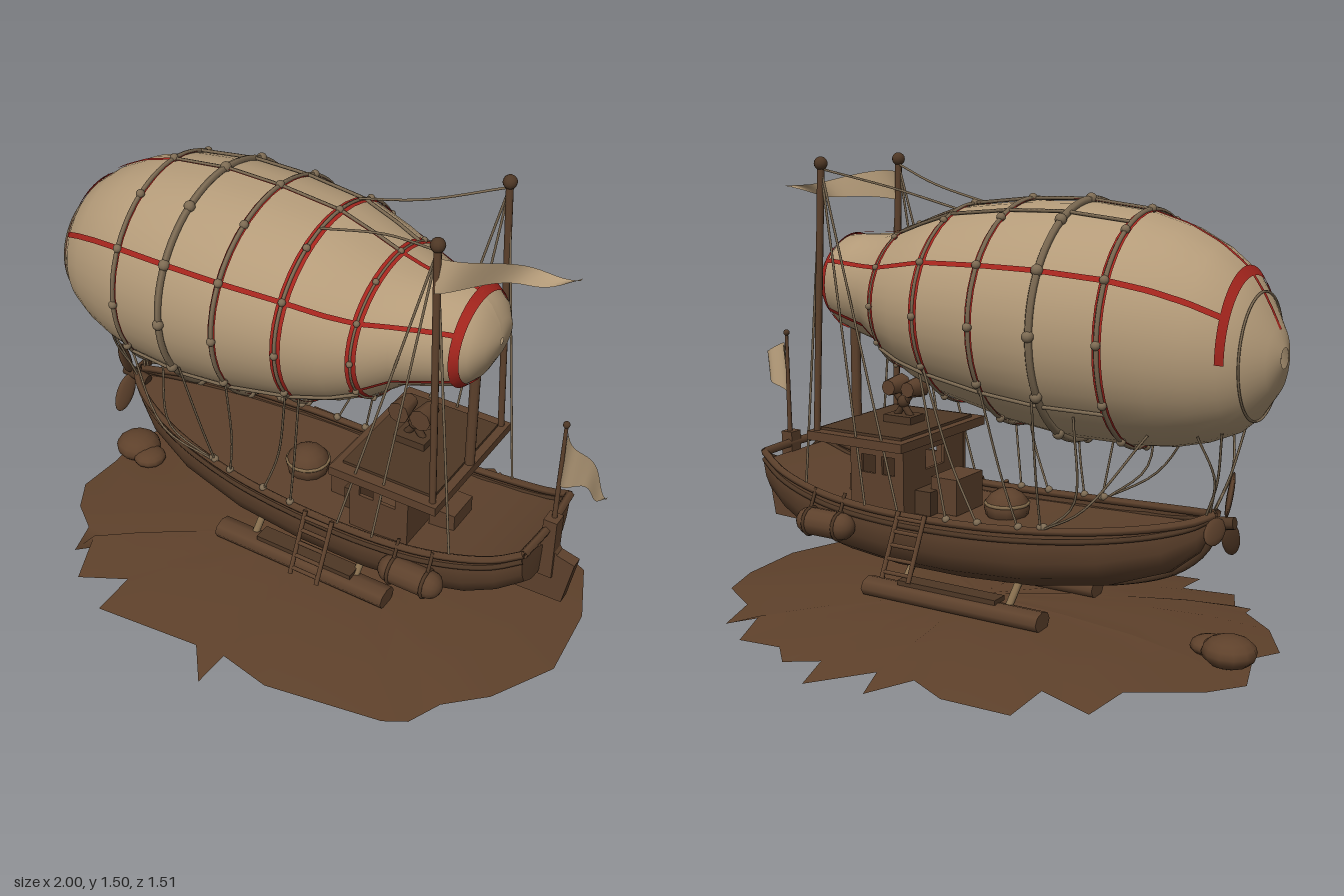
import * as THREE from 'three';

const V = (x, y, z) => new THREE.Vector3(x, y, z);
const ZC = 0.015; // centre line of the craft
const mat = (name, color, side = THREE.FrontSide) => Object.assign(new THREE.MeshStandardMaterial({ color, side }), { name });

// [x, top, bottom, half width] of the gas bag, bow to stern
const BAG = [[-1, 0.99, 0.93, 0.03], [-0.98, 1.05, 0.85, 0.1], [-0.93, 1.14, 0.775, 0.17], [-0.88, 1.21, 0.73, 0.22],
  [-0.8, 1.27, 0.695, 0.265], [-0.7, 1.32, 0.67, 0.305], [-0.58, 1.355, 0.66, 0.34], [-0.37, 1.378, 0.662, 0.37], [-0.18, 1.373, 0.688, 0.372],
  [0.03, 1.35, 0.735, 0.35], [0.15, 1.31, 0.775, 0.315], [0.24, 1.275, 0.82, 0.275], [0.33, 1.248, 0.885, 0.225], [0.42, 1.243, 0.905, 0.19],
  [0.5, 1.237, 0.93, 0.165], [0.54, 1.2, 0.97, 0.14], [0.57, 1.15, 1.03, 0.09], [0.58, 1.1, 1.08, 0.01]];
// [x, gunwale height, keel height, half width] of the hull
const HULL = [[-0.81, 0.475, 0.43, 0.012], [-0.77, 0.457, 0.35, 0.05], [-0.68, 0.438, 0.275, 0.105], [-0.5, 0.413, 0.21, 0.17],
  [-0.25, 0.391, 0.17, 0.218], [0, 0.38, 0.156, 0.235], [0.25, 0.381, 0.156, 0.237], [0.45, 0.396, 0.175, 0.228],
  [0.6, 0.423, 0.21, 0.21], [0.7, 0.452, 0.26, 0.19], [0.78, 0.492, 0.32, 0.165]];
// jagged rim of the ground patch, x and z
const RIM = [-.97, -.1, -.9, -.24, -.72, -.4, -.68, -.53, -.52, -.51, -.5, -.65, -.27, -.65, -.16, -.62, -.05, -.72, -.02, -.61, .14, -.76,
  .18, -.62, .28, -.68, .34, -.62, .51, -.61, .54, -.48, .62, -.55, .66, -.4, .8, -.32, .88, -.13, .9, .13, .79, .35, .67, .45, .62, .56,
  .55, .6, .16, .66, -.01, .64, -.03, .75, -.12, .64, -.49, .68, -.49, .53, -.65, .6, -.72, .43, -.75, .5, -.77, .4, -.88, .32, -.96, .2, -.93, .05];

function sample(table, x) {
  let i = 0;
  while (i < table.length - 2 && x > table[i + 1][0]) i++;
  const [a, b] = [table[i], table[i + 1]];
  const t = THREE.MathUtils.clamp((x - a[0]) / (b[0] - a[0]), 0, 1);
  return a.map((v, k) => v + (b[k] - v) * t);
}
// point on the bag at x, angle measured from the top towards +z
function bag(x, a, off = 0) {
  const [, t, b, w] = sample(BAG, x);
  return V(x, (t + b) / 2 + ((t - b) / 2 + off) * Math.cos(a), ZC + (w + off) * Math.sin(a));
}
const steps = (a, b, n) => Array.from({ length: n + 1 }, (_, i) => a + (b - a) * i / n);
// skin over rows of points
function loft(rows) {
  const n = rows[0].length, idx = [];
  for (let i = 0; i < rows.length - 1; i++) for (let j = 0; j < n - 1; j++) {
    const p = i * n + j;
    idx.push(p, p + 1, p + n, p + 1, p + n + 1, p + n);
  }
  const g = new THREE.BufferGeometry().setFromPoints(rows.flat());
  g.setIndex(idx);
  g.computeVertexNormals();
  return g;
}
const tube = (pts, r, n = 24, closed = false) => new THREE.TubeGeometry(new THREE.CatmullRomCurve3(pts, closed), n, r, 5, closed);

export function createModel() {
  const root = new THREE.Group();
  const wood = mat('brown wood', 0x5d412c, THREE.DoubleSide), dark = mat('dark wood', 0x4e3725), earth = mat('earth', 0x5e412b, THREE.DoubleSide);
  const canvas = mat('tan canvas', 0xb49b79, THREE.DoubleSide), red = mat('red trim', 0xa5251d, THREE.DoubleSide);
  const cord = mat('rope', 0x7d6b53), pale = mat('pale wood', 0x846c4c);
  const add = (name, geo, m, x = 0, y = 0, z = 0) => {
    const o = new THREE.Mesh(geo, m);
    o.name = name;
    o.position.set(x, y, z);
    root.add(o);
    return o;
  };
  const box = (name, w, h, d, m, x, y, z) => add(name, new THREE.BoxGeometry(w, h, d), m, x, y, z);
  const ball = (name, r, m, x, y, z) => add(name, new THREE.SphereGeometry(r, 12, 8), m, x, y, z);
  const beam = (name, a, b, r, m, r2 = r) => {
    const o = add(name, new THREE.CylinderGeometry(r2, r, a.distanceTo(b), 8), m);
    o.position.lerpVectors(a, b, 0.5);
    o.quaternion.setFromUnitVectors(V(0, 1, 0), b.clone().sub(a).normalize());
    return o;
  };
  const rope = pts => add('rope', tube(pts, 0.004, 12), cord);

  // Gas bag
  const round = steps(0, Math.PI * 2, 40);
  add('gasBag', loft(BAG.map(r => round.map(a => bag(r[0], a)))), canvas);
  // Red hoops and seams: [x, half width, half arc]
  for (const [x, w, arc] of [[-0.89, 0.01, 1.6], [-0.58, 0.013, Math.PI], [-0.18, 0.012, Math.PI], [0.03, 0.016, Math.PI], [0.24, 0.014, Math.PI], [0.51, 0.013, Math.PI]])
    add('redHoop', loft([-w, w].map(d => steps(-arc, arc, 40).map(a => bag(x + d, a, 0.006)))), red);
  for (let k = 0; k < 6; k++) {
    const a0 = k * Math.PI / 3, start = k === 0 ? -0.985 : k === 1 || k === 5 ? -0.9 : 0.22;
    add('redSeam', loft(steps(start, 0.51, 60).map(x => {
      const da = 0.009 / (sample(BAG, x)[3] + 0.02);
      return [bag(x, a0 - da, 0.006), bag(x, a0 + da, 0.006)];
    })), red);
  }
  // Netting with knots: [x, rope radius]
  for (const [x, r] of [[-0.58, 0.008], [-0.38, 0.012], [-0.18, 0.008], [0.03, 0.006], [0.24, 0.004]]) {
    add('netHoop', tube(round.slice(0, -1).map(a => bag(x, a, 0.006)), r, 80, true), cord);
    for (let k = 0; k < 12; k++) {
      const p = bag(x, k * Math.PI / 6, 0.008);
      ball('knot', r + 0.006, cord, p.x, p.y, p.z);
    }
  }
  add('noseHoop', tube(round.slice(0, -1).map(a => bag(-0.93, a, 0.004)), 0.004, 60, true), cord);
  for (const a of [0, -0.4, 2.2, -2.2])
    add('netLine', tube(steps(-0.58, 0.24, 20).map(x => bag(x, a, 0.007)), 0.006, 40), cord);

  // Hull, deck and transom
  const PROFILE = [[1, 0], [1.02, 0.25], [0.97, 0.5], [0.85, 0.75], [0.5, 0.95], [0.06, 1]];
  const section = ([x, t, k, w]) => [...PROFILE.map(([u, v]) => V(x, t + (k - t) * v, ZC + w * u)),
    ...PROFILE.slice().reverse().map(([u, v]) => V(x, t + (k - t) * v, ZC - w * u))];
  add('hull', loft(HULL.map(section)), wood);
  add('deck', loft(HULL.map(([x, t, , w]) => [V(x, t - 0.03, ZC - w), V(x, t - 0.03, ZC + w)])), wood);
  const stern = section(HULL[HULL.length - 1]);
  add('transom', loft([stern, stern.map(() => V(0.785, 0.42, ZC))]), wood);
  for (const s of [-1, 1]) {
    add('gunwale', tube(HULL.map(([x, t, , w]) => V(x, t, ZC + s * w)), 0.013, 50), wood);
    add('rubbingStrake', tube(HULL.map(([x, t, k, w]) => V(x, t + (k - t) * 0.15, ZC + s * w * 1.01)), 0.009, 50), dark);
  }
  add('keel', tube(HULL.map(([x, , k]) => V(x, k, ZC)), 0.015, 50), dark);
  add('sternRail', tube([V(0.78, 0.49, ZC - 0.165), V(0.79, 0.49, ZC), V(0.78, 0.49, ZC + 0.165)], 0.015), wood);
  box('sternPost', 0.045, 0.22, 0.05, wood, 0.8, 0.42, ZC + 0.005);

  // Rudder
  const blade = new THREE.Shape([[0.79, 0.46], [0.83, 0.4], [0.89, 0.385], [0.86, 0.22], [0.7, 0.215], [0.71, 0.25], [0.77, 0.3]].map(p => new THREE.Vector2(...p)));
  add('rudder', new THREE.ExtrudeGeometry(blade, { depth: 0.04, bevelEnabled: false }), wood, 0, 0, ZC - 0.02);

  // Bow propeller
  beam('propellerShaft', V(-0.87, 0.455, ZC), V(-0.77, 0.44, ZC), 0.02, dark);
  for (let k = 0; k < 3; k++) {
    const a = k * Math.PI * 2 / 3 + 0.4;
    const b = add('propellerBlade', new THREE.SphereGeometry(1, 12, 8), wood, -0.84, 0.455 + 0.08 * Math.cos(a), ZC + 0.08 * Math.sin(a));
    b.scale.set(0.01, 0.072, 0.036);
    b.rotation.set(a, 0.4, 0);
  }

  // Wheelhouse walls with open windows
  const wall = (name, w, h, holes, x, y, z, turn = 0) => {
    const rect = (C, l, b, r, t) => new C([[l, b], [r, b], [r, t], [l, t]].map(p => new THREE.Vector2(...p)));
    const s = rect(THREE.Shape, -w / 2, 0, w / 2, h);
    s.holes = holes.map(q => rect(THREE.Path, ...q));
    add(name, new THREE.ExtrudeGeometry(s, { depth: 0.012, bevelEnabled: false }), wood, x, y, z).rotation.y = turn;
  };
  for (const z of [ZC - 0.185, ZC + 0.173])
    wall('cabinSide', 0.21, 0.24, [[-0.07, 0.135, -0.02, 0.195], [0.005, 0.135, 0.06, 0.195]], 0.29, 0.35, z);
  for (const x of [0.186, 0.383])
    wall('cabinEnd', 0.36, 0.24, [[-0.055, 0.135, 0.055, 0.2]], x, 0.35, ZC, Math.PI / 2);
  box('cabinRoof', 0.375, 0.03, 0.5, wood, 0.335, 0.598, ZC);
  box('roofTrim', 0.32, 0.01, 0.42, dark, 0.335, 0.617, ZC);
  box('foreLocker', 0.1, 0.12, 0.16, wood, 0.1, 0.412, ZC);
  box('foreStep', 0.07, 0.08, 0.24, dark, 0.16, 0.39, ZC);
  box('aftLocker', 0.09, 0.08, 0.12, wood, 0.45, 0.39, ZC);

  // Twin lamps on the roof
  box('lampBase', 0.11, 0.025, 0.08, dark, 0.31, 0.635, ZC);
  for (const s of [-1, 1]) {
    beam('lampArm', V(0.31 - s * 0.03, 0.64, ZC), V(0.31 + s * 0.04, 0.73, ZC), 0.012, dark);
    beam('lamp', V(0.31 + s * 0.038, 0.738, ZC - 0.035), V(0.31 + s * 0.038, 0.738, ZC + 0.045), 0.026, wood, 0.037);
  }
  ball('lampKnob', 0.022, dark, 0.31, 0.69, ZC);

  // Deck bundle
  ball('deckBundle', 0.075, wood, -0.08, 0.38, ZC + 0.02).scale.set(1, 0.85, 1);
  add('bundleStrap', new THREE.TorusGeometry(0.07, 0.006, 6, 20), pale, -0.08, 0.395, ZC + 0.02).rotation.x = Math.PI / 2;

  // Balloon post, masts and flags
  beam('bagPost', V(0.505, 0.58, ZC), V(0.505, 1.0, ZC), 0.017, wood);
  for (const s of [-1, 1]) {
    const tip = V(0.47, 1.46, ZC + s * 0.213);
    beam('mast', V(0.5, 0.6, ZC + s * 0.225), tip, 0.011, wood, 0.012);
    ball('mastCap', 0.022, dark, 0.47, 1.477, tip.z);
    rope([tip, V(0.25, 1.4, ZC + s * 0.12), bag(0.03, s * 0.3, 0.01)]);
    for (const [x, y, w] of [[0.17, 0.38, 0.24], [0.3, 0.39, 0.24], [0.56, 0.41, 0.215]])
      beam('stay', V(x, y, ZC + s * w), tip, 0.004, cord);
  }
  const flag = (name, x0, len, top, bot, tipY, z0, dz) => add(name, loft(steps(0, 1, 16).map(u => steps(0, 1, 3).map(v =>
    V(x0 + len * u, THREE.MathUtils.lerp(top + (bot - top) * v, tipY, u ** 1.4) + 0.008 * Math.sin(u * 7), z0 + dz * u + 0.025 * Math.sin(u * 8 + v))))), canvas);
  flag('mastPennant', 0.475, 0.335, 1.435, 1.335, 1.38, ZC + 0.21, -0.2);
  beam('flagpole', V(0.8, 0.48, ZC), V(0.805, 0.87, ZC), 0.009, wood, 0.006);
  ball('flagpoleCap', 0.011, dark, 0.805, 0.88, ZC);
  flag('sternFlag', 0.805, 0.192, 0.835, 0.655, 0.775, ZC - 0.02, 0.13);

  // Mooring lines, fenders, ladders and skids on both sides
  for (const s of [-1, 1]) {
    const z = w => ZC + s * w;
    for (const [x, a, mx, my, ex] of [[-0.67, 2.5, -0.5, 0.5, -0.33], [-0.47, 2.3, -0.47, 0.52, -0.34], [-0.36, 2.1, -0.34, 0.56, -0.33],
      [-0.18, 2.1, -0.22, 0.56, -0.26], [0.03, 2.1, -0.04, 0.58, -0.12], [0.06, 2.2, 0.02, 0.58, -0.01]]) {
      const e = sample(HULL, ex);
      rope([bag(x, s * a), V(mx, my, z(0.25)), V(ex, e[1], z(e[3]))]);
      ball('cleat', 0.013, cord, ex, e[1] + 0.01, z(e[3]));
    }
    rope([bag(-0.86, s * 2.7), V(-0.83, 0.58, z(0.05)), V(-0.79, 0.47, z(0.03))]);
    rope([bag(-0.8, s * 2.6), V(-0.83, 0.6, z(0.07)), V(-0.8, 0.48, z(0.02))]);

    const fender = add('fender', new THREE.CapsuleGeometry(0.046, 0.13, 5, 12), wood, 0.45, 0.31, z(0.255));
    fender.rotation.z = Math.PI / 2;
    for (const x of [0.39, 0.51]) {
      add('fenderStrap', new THREE.TorusGeometry(0.046, 0.006, 6, 18), dark, x, 0.31, z(0.255)).rotation.y = Math.PI / 2;
      beam('fenderHanger', V(x, 0.355, z(0.255)), V(x, 0.415, z(0.225)), 0.006, dark);
    }

    const at = (x, t) => V(x, 0.395 - 0.195 * t, z(0.25 + 0.095 * t));
    for (const x of [0.06, 0.16]) beam('ladderRail', at(x, 0), at(x, 1), 0.008, wood);
    for (const t of [0.1, 0.3, 0.5, 0.7, 0.9]) beam('ladderRung', at(0.06, t), at(0.16, t), 0.007, wood);

    const skid = beam('skid', V(-0.33, 0.1, z(0.185)), V(0.33, 0.1, z(0.185)), 0.045, wood);
    skid.scale.x = 0.72;
    box('skidPlank', 0.37, 0.016, 0.06, dark, 0.015, 0.137, z(0.175));
    for (const x of [-0.2, 0.2]) beam('skidStrut', V(x, 0.12, z(0.17)), V(x, 0.2, z(0.09)), 0.013, pale);
  }

  // Ground patch, domed down to its torn rim, and boulder
  const count = RIM.length / 2;
  add('ground', loft([0, 0.35, 0.6, 0.8, 1].map(f => steps(0, count, count).map(j => {
    const k = (count - j) % count, x = RIM[k * 2] * f, z = RIM[k * 2 + 1] * f;
    return V(x, Math.max(0, 0.08 - 0.14 * z * z - 0.07 * x ** 4 + 0.008 * f * Math.sin(k * 2.3 + f * 4)), z);
  }))), earth);
  ball('boulder', 1, earth, -0.885, 0.075, -0.03).scale.set(0.085, 0.05, 0.08);
  ball('smallBoulder', 1, earth, -0.81, 0.07, 0).scale.set(0.06, 0.03, 0.06);
  return root;
}
